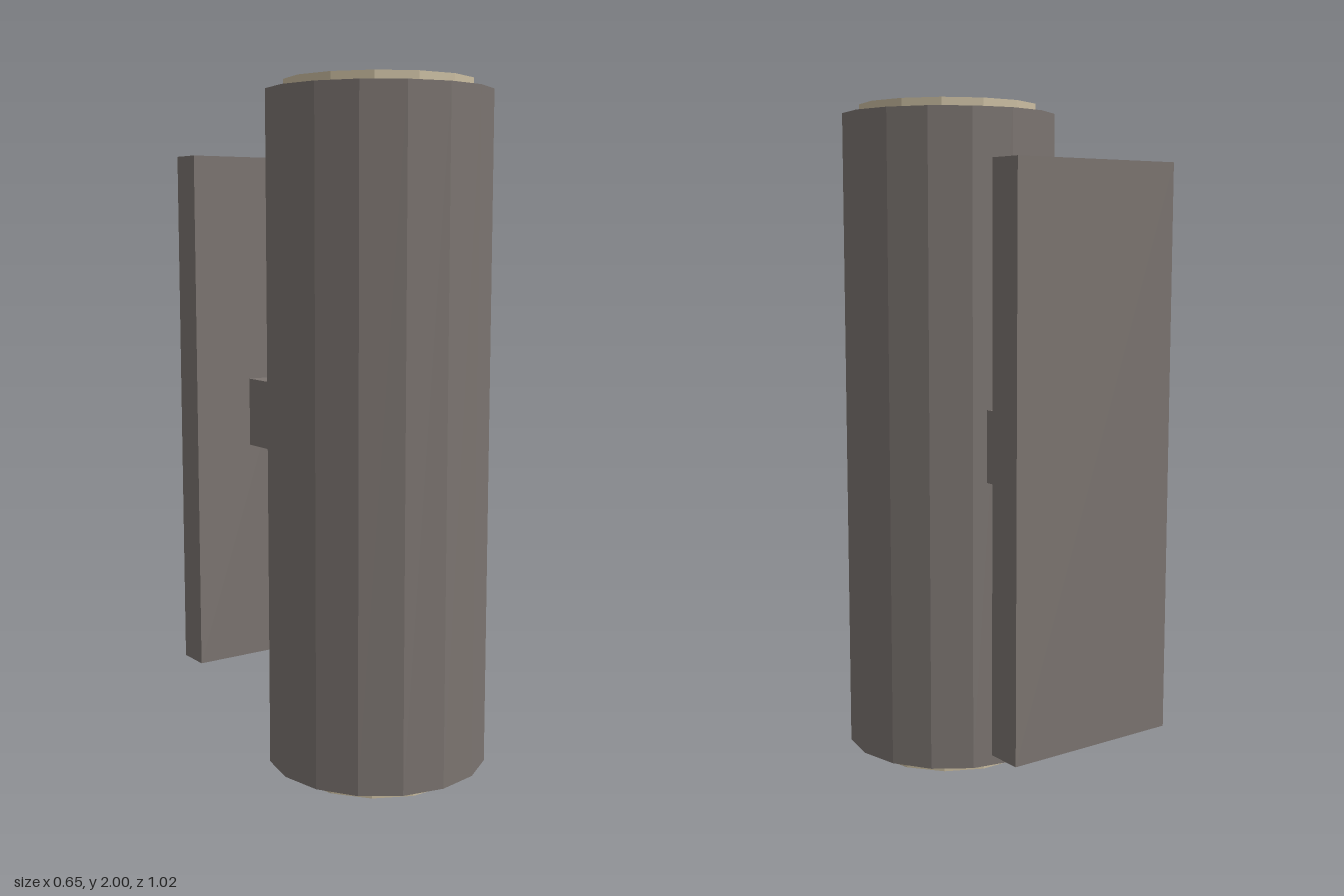
import * as THREE from 'three';

export function createModel() {
  const group = new THREE.Group();
  const metal = new THREE.MeshStandardMaterial({ name: 'warm grey metal', color: 0x7b7470, flatShading: true });
  const glow = new THREE.MeshStandardMaterial({ name: 'cream lens', color: 0xcabda1, flatShading: true });

  const add = (name, geometry, material, x, y, z) => {
    const mesh = new THREE.Mesh(geometry, material);
    mesh.name = name;
    mesh.position.set(x, y, z);
    group.add(mesh);
    return mesh;
  };

  const axisZ = 0.188;
  const bottom = 0.028, top = 1.972;

  // Faceted lamp tube
  add('lampTube', new THREE.CylinderGeometry(0.323, 0.323, top - bottom, 16), metal, 0, 1, axisZ);

  // Lenses standing slightly proud of both ends
  const lens = new THREE.CylinderGeometry(0.27, 0.27, 0.06, 14).rotateY(Math.PI / 2);
  add('upperLens', lens, glow, 0, 1.97, axisZ);
  add('lowerLens', lens, glow, 0, 0.03, axisZ);

  // Wall plate and the arm that carries the tube
  add('wallPlate', new THREE.BoxGeometry(0.54, 1.615, 0.107), metal, 0, 1.003, -0.458);
  add('arm', new THREE.BoxGeometry(0.16, 0.215, 0.305), metal, 0, 1.003, -0.2575);

  return group;
}
